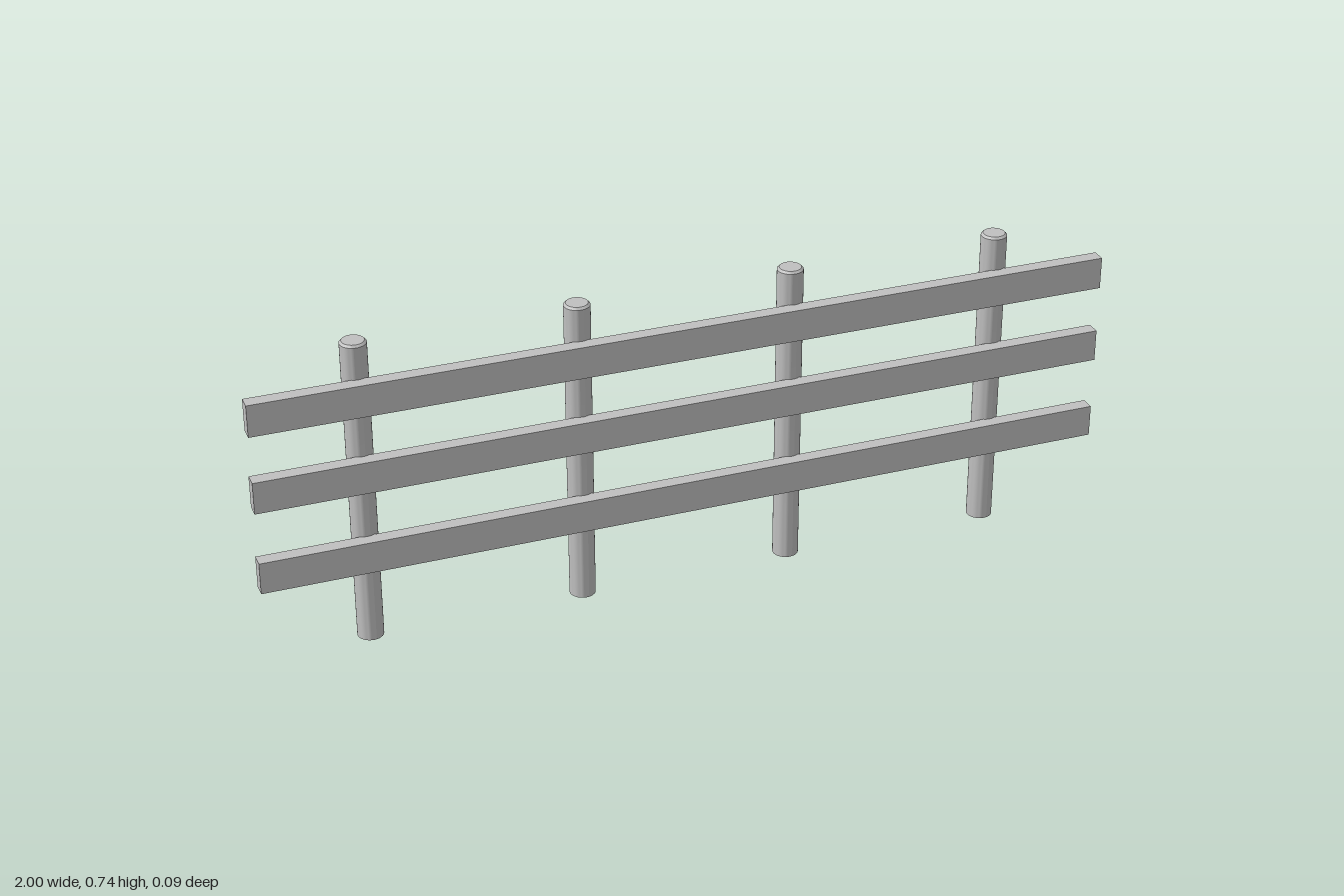
import * as THREE from 'three';
import { toCreasedNormals } from 'three/addons/utils/BufferGeometryUtils.js';

export function createModel() {
  const fence = new THREE.Group();
  fence.name = 'fence';
  const grey = new THREE.MeshStandardMaterial({ color: 0xbfbfbf });
  grey.name = 'grey';

  // Round posts with a small chamfer around the top
  const profile = [[0, 0], [0.03, 0], [0.03, 0.732], [0.025, 0.737], [0, 0.737]]
    .map(([r, y]) => new THREE.Vector2(r, y));
  const postGeometry = toCreasedNormals(new THREE.LatheGeometry(profile, 32), 0.5);
  [-0.75, -0.25, 0.25, 0.75].forEach((x, i) => {
    const post = new THREE.Mesh(postGeometry, grey);
    post.name = `post${i + 1}`;
    post.position.set(x, 0, -0.0145);
    fence.add(post);
  });

  // Horizontal rails, let slightly into the front of the posts
  const railGeometry = new THREE.BoxGeometry(2, 0.076, 0.033);
  const railHeights = { bottomRail: 0.231, middleRail: 0.431, topRail: 0.618 };
  for (const [name, y] of Object.entries(railHeights)) {
    const rail = new THREE.Mesh(railGeometry, grey);
    rail.name = name;
    rail.position.set(0, y, 0.028);
    fence.add(rail);
  }

  return fence;
}
